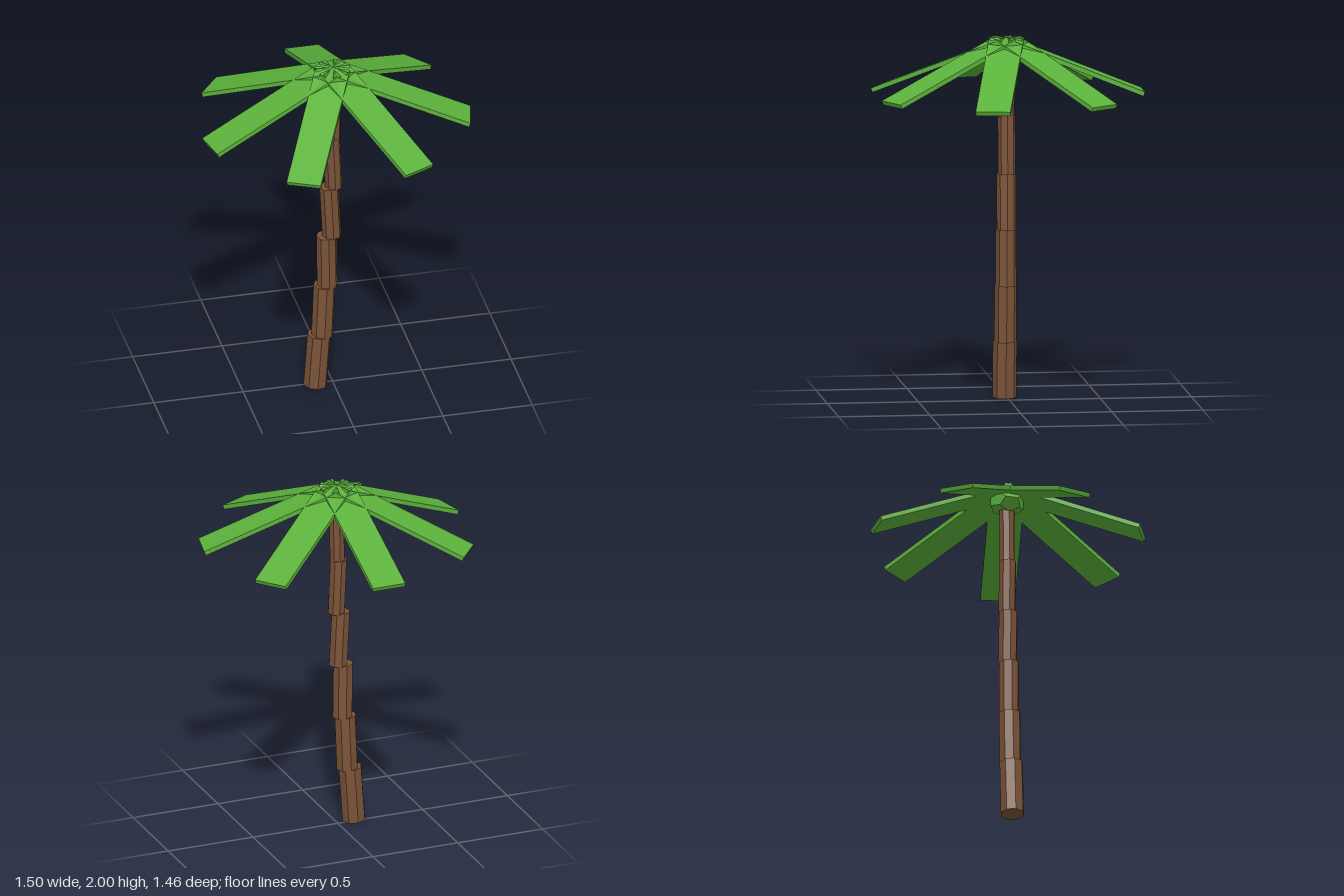
import * as THREE from 'three';

export function createModel() {
  const model = new THREE.Group();
  const bark = new THREE.MeshStandardMaterial({ color: 0x7b5338, flatShading: true });
  bark.name = 'brown bark';
  const leaf = new THREE.MeshStandardMaterial({ color: 0x5cb23c, flatShading: true });
  leaf.name = 'leaf green';

  const axisZ = 0.015; // depth of the trunk line and crown

  // Trunk: stacked, slightly leaning segments [bottom x, top x, radius]
  const trunk = new THREE.Group();
  trunk.name = 'trunk';
  const step = 0.31;
  [
    [-0.1, -0.078, 0.066],
    [-0.061, -0.049, 0.061],
    [-0.033, -0.037, 0.057],
    [-0.008, -0.023, 0.053],
    [0.003, -0.010, 0.048],
    [-0.003, 0.003, 0.043],
  ].forEach(([x0, x1, r], i) => {
    const segment = new THREE.Mesh(new THREE.CylinderGeometry(r, r, step + 0.006, 8), bark);
    segment.name = 'trunkSegment' + (i + 1);
    segment.position.set((x0 + x1) / 2, 0.008 + step * (i + 0.5), axisZ);
    segment.rotation.z = -Math.atan2(x1 - x0, step);
    trunk.add(segment);
  });
  model.add(trunk);

  // Crown bud beneath the fronds
  const bud = new THREE.Mesh(new THREE.DodecahedronGeometry(0.1), leaf);
  bud.name = 'crownBud';
  bud.scale.y = 0.65;
  bud.position.set(0, 1.915, axisZ);
  model.add(bud);

  // Fronds: seven drooping slabs whose inner ends meet at the centre
  const fronds = new THREE.Group();
  fronds.name = 'fronds';
  fronds.position.set(0, 1.988, axisZ);
  const length = 0.803, thickness = 0.025, droop = 0.385;
  const slab = new THREE.BoxGeometry(0.19, thickness, length);
  slab.translate(0, 0, length / 2);
  slab.rotateX(droop);
  for (let i = 0; i < 7; i++) {
    const frond = new THREE.Mesh(slab, leaf);
    frond.name = 'frond' + (i + 1);
    frond.rotation.y = Math.PI + (i * Math.PI * 2) / 7;
    fronds.add(frond);
  }
  model.add(fronds);

  return model;
}
